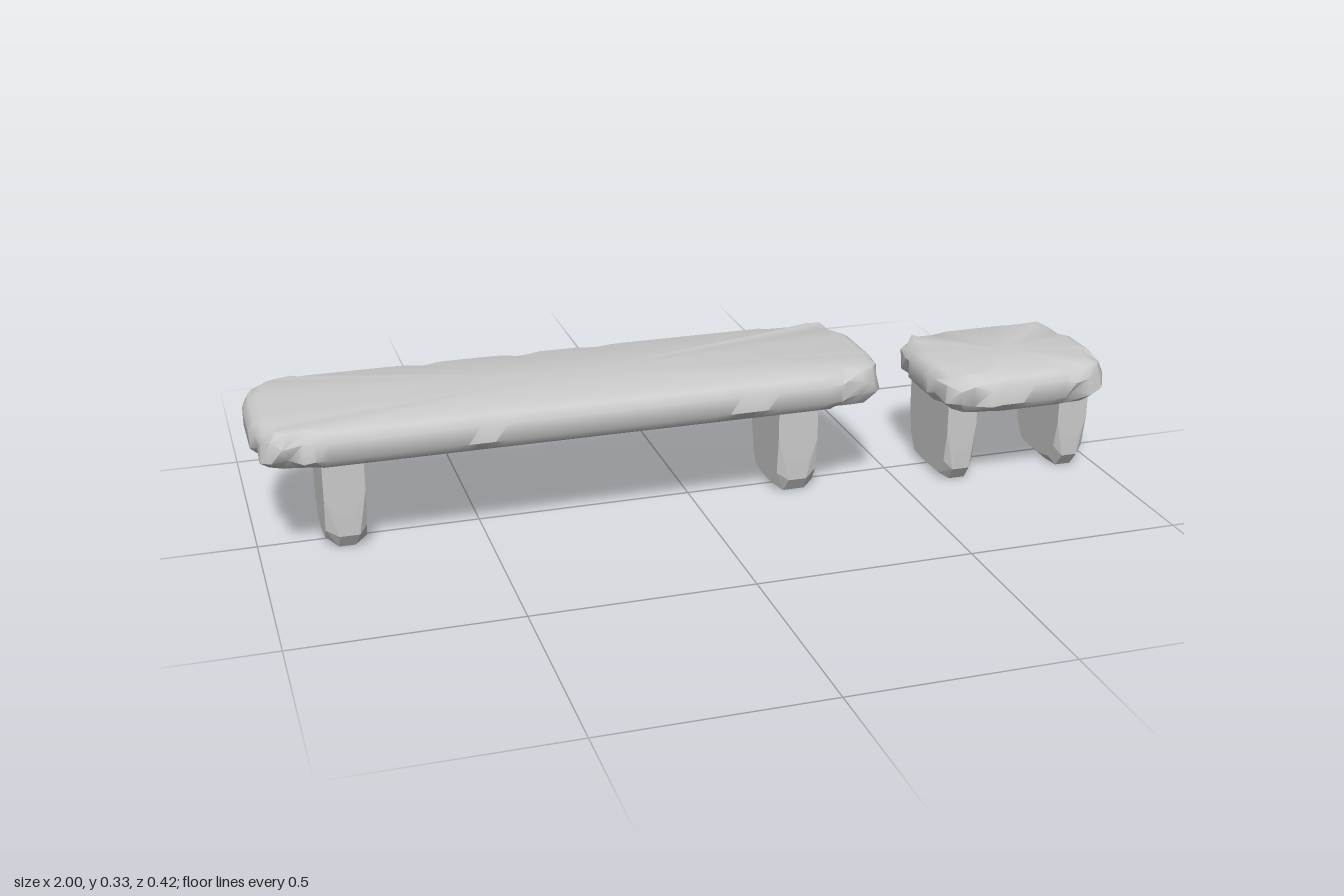
import * as THREE from 'three';
import { toCreasedNormals } from 'three/addons/utils/BufferGeometryUtils.js';
import { ConvexGeometry } from 'three/addons/geometries/ConvexGeometry.js';

const stone = new THREE.MeshStandardMaterial({ color: 0xcccccc });
const roughStone = new THREE.MeshStandardMaterial({ color: 0xcccccc, flatShading: true });

// Seeded noise for the worn edges
function seeded(seed) {
  return () => {
    seed = (seed * 16807) % 2147483647;
    return seed / 2147483647;
  };
}

// Outline of a worn slab, anticlockwise seen from above, as [x, z, wear]
function slabOutline(hx, hz, r) {
  const corner = [[0, 1.5], [0.15, 0.7], [0.5, 0.22], [0.95, 0.06], [1.6, 0]];
  const stops = [];
  for (const [sx, sz] of [[1, -1], [-1, -1], [-1, 1], [1, 1]]) {
    const pts = corner.map(([a, b]) => [sx * (hx - a * r), sz * (hz - b * r), 1]);
    if (sx * sz > 0) pts.reverse();
    stops.push(...pts);
  }
  const out = [];
  stops.forEach((p, i) => {
    out.push(p);
    const q = stops[(i + 1) % stops.length];
    const length = Math.hypot(q[0] - p[0], q[1] - p[1]);
    const n = i % 5 === 4 ? Math.ceil(length / 0.03) : 1;
    for (let k = 1; k < n; k++) {
      const t = k / n;
      out.push([p[0] + (q[0] - p[0]) * t, p[1] + (q[1] - p[1]) * t, 0]);
    }
  });
  return out;
}

// Slab built from stacked rings, with chipped corners and notches in the edges
function slab(name, x0, x1, z0, z1, y0, y1, r, chips, seed) {
  const rand = seeded(seed);
  const cx = (x0 + x1) / 2, cz = (z0 + z1) / 2;
  const hx = (x1 - x0) / 2, hz = (z1 - z0) / 2;
  const outline = slabOutline(hx, hz, r), n = outline.length;
  const rings = [[y0, 0.024], [y0 + 0.024, 0], [y1 - 0.026, 0], [y1 - 0.007, 0.013], [y1, 0.03]];
  const pos = [], index = [];
  rings.forEach(([y, inset], level) => {
    for (const [x, z, wear] of outline) {
      let cut = inset + wear * rand() * 0.014;
      let py = y;
      if (wear && level > 0 && level < 4) py += (rand() - 0.5) * 0.018;
      for (const [chipX, side, depth] of chips) {
        const near = Math.max(0, 1 - Math.abs(x - (chipX - cx)) / 0.045);
        if (side * z > hz * 0.9 && level > 1) cut += depth * near;
      }
      pos.push(cx + x * (1 - cut / hx), py, cz + z * (1 - cut / hz));
    }
  });
  for (let l = 0; l < rings.length - 1; l++) {
    for (let i = 0; i < n; i++) {
      const a = l * n + i, b = l * n + (i + 1) % n;
      index.push(a, b, b + n, a, b + n, a + n);
    }
  }
  // Bottom and top caps
  const bottom = pos.length / 3, top = bottom + 1, last = (rings.length - 1) * n;
  pos.push(cx, y0, cz, cx, y1, cz);
  for (let i = 0; i < n; i++) {
    const j = (i + 1) % n;
    index.push(bottom, j, i, top, last + i, last + j);
  }
  const geo = new THREE.BufferGeometry();
  geo.setAttribute('position', new THREE.Float32BufferAttribute(pos, 3));
  geo.setIndex(index);
  const mesh = new THREE.Mesh(toCreasedNormals(geo, 0.8), stone);
  mesh.name = name;
  return mesh;
}

// Upright plate, square at the top and chipped round at the foot
function leg(name, x0, x1, z0, z1, height, seed) {
  const rand = seeded(seed);
  const hz = (z1 - z0) / 2, hx = (x1 - x0) / 2;
  const foot = [[1, 0.085], [0.98, 0.035], [0.76, 0.002], [0.3, 0]];
  const points = [];
  for (const sx of [-1, 1]) {
    for (const sz of [-1, 1]) {
      points.push(new THREE.Vector3(sx * hx, height, sz * hz));
      points.push(new THREE.Vector3(sx * hx, 0.125 + rand() * 0.02, sz * hz));
      for (const [w, y] of foot) {
        // Wide edge near the middle of the thickness
        points.push(new THREE.Vector3(sx * hx * (0.35 + rand() * 0.35), y, sz * w * hz));
        // Worn edge of the broad face
        const inner = w * (0.84 + rand() * 0.08);
        points.push(new THREE.Vector3(sx * hx, y + 0.012 + rand() * 0.012, sz * inner * hz));
      }
    }
  }
  const mesh = new THREE.Mesh(new ConvexGeometry(points), roughStone);
  mesh.position.set((x0 + x1) / 2, 0, (z0 + z1) / 2);
  mesh.name = name;
  return mesh;
}

export function createModel() {
  const model = new THREE.Group();
  model.name = 'stoneBenches';

  // Long bench
  const long = new THREE.Group();
  long.name = 'longBench';
  const longChips = [[-0.6, -1, 0.018], [-0.36, -1, 0.02], [-0.17, -1, 0.012],
    [0.3, -1, 0.014], [-0.5, 1, 0.005], [0.1, 1, 0.005]];
  long.add(
    slab('longSeat', -1, 0.44, -0.21, 0.175, 0.235, 0.325, 0.06, longChips, 11),
    leg('longRightLeg', -0.855, -0.763, -0.113, 0.08, 0.245, 5),
    leg('longLeftLeg', 0.197, 0.293, -0.113, 0.08, 0.245, 23));

  // Short bench
  const short = new THREE.Group();
  short.name = 'shortBench';
  short.add(
    slab('shortSeat', 0.565, 1, -0.156, 0.21, 0.195, 0.287, 0.068, [[0.72, 1, 0.006]], 37),
    leg('shortRightLeg', 0.599, 0.673, -0.083, 0.135, 0.205, 41),
    leg('shortLeftLeg', 0.888, 0.963, -0.083, 0.135, 0.205, 59));

  model.add(long, short);
  return model;
}
